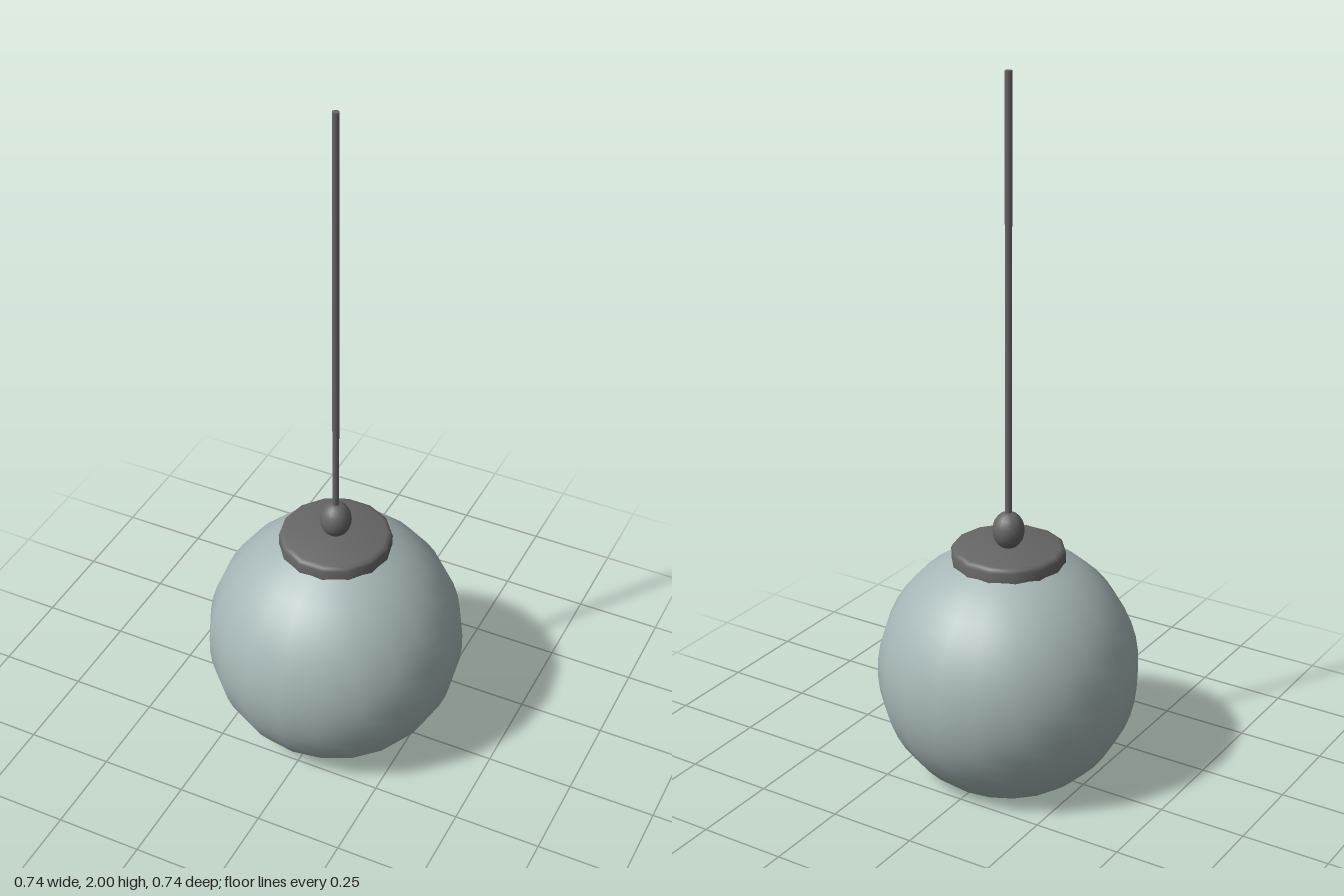
import * as THREE from 'three';
import { toCreasedNormals } from 'three/addons/utils/BufferGeometryUtils.js';

const metal = new THREE.MeshStandardMaterial({ color: 0x666666 });
const glass = new THREE.MeshStandardMaterial({ color: 0xa6b6b6, side: THREE.DoubleSide });

function addPart(group, name, geometry, material, y = 0) {
  const mesh = new THREE.Mesh(geometry, material);
  mesh.name = name;
  mesh.position.y = y;
  group.add(mesh);
  return mesh;
}

export function createModel() {
  const group = new THREE.Group();
  group.name = 'pendantLamp';

  // Globe shade: a thin sphere, open at the bottom and cut off under the cap
  const radius = 0.37, centre = 0.305, rows = 16;
  const low = Math.asin(-centre / radius), high = Math.acos(0.15 / radius);
  const arc = [];
  for (let i = 0; i <= rows; i++) {
    const a = low + (high - low) * i / rows;
    arc.push(new THREE.Vector2(radius * Math.cos(a), radius * Math.sin(a)));
  }
  addPart(group, 'globeShade', new THREE.LatheGeometry(arc, 20), glass, centre);

  // Cap: a 14-sided disc with a softened upper rim
  const capProfile = [[0, 0.635], [0.16, 0.635], [0.16, 0.667], [0.156, 0.676], [0.146, 0.68], [0, 0.68]]
    .map(([x, y]) => new THREE.Vector2(x, y));
  const cap = new THREE.LatheGeometry(capProfile, 14, Math.PI / 2);
  addPart(group, 'cap', toCreasedNormals(cap, 0.85), metal);

  // Egg-shaped cord holder
  const holder = new THREE.SphereGeometry(0.045, 16, 12).scale(1, 1.2, 1);
  addPart(group, 'cordHolder', holder, metal, 0.728);

  // Hanging cord
  addPart(group, 'cord', new THREE.CylinderGeometry(0.01, 0.01, 1.25, 8), metal, 1.375);

  return group;
}
